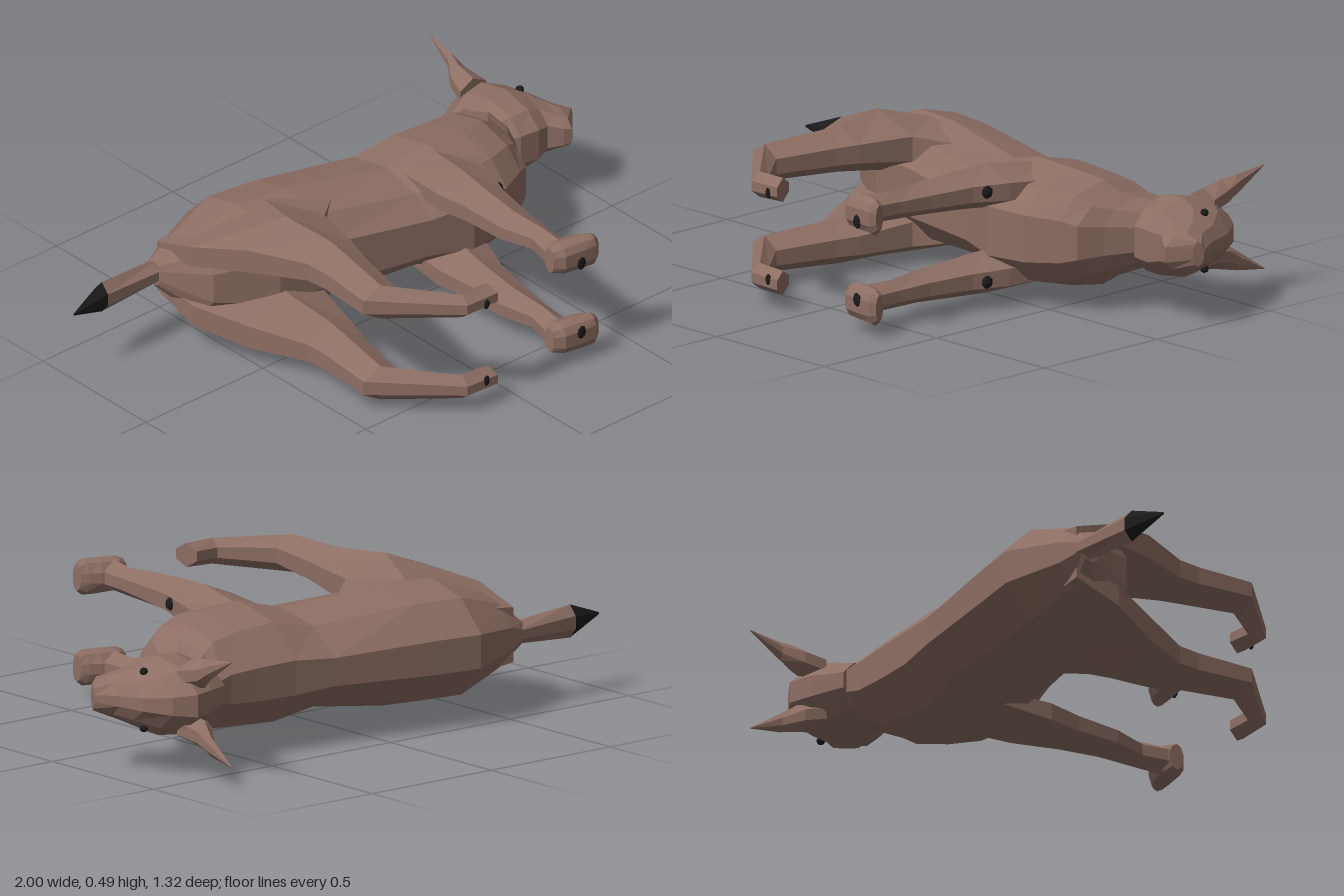
import * as THREE from 'three';

const fur = new THREE.MeshStandardMaterial({ name: 'brown fur', color: 0x8d6e63, flatShading: true });
const dark = new THREE.MeshStandardMaterial({ name: 'dark markings', color: 0x1b1b1b, flatShading: true });

// Cross-section outlines as [t, s]: t runs between the two edge points, s across the width
const ROUND = [[1, .36], [1, .64], [.78, .9], [.45, 1], [.15, .9], [0, .7], [0, .3], [.15, .1], [.45, 0], [.78, .1]];
const LIMB = [[1, .3], [1, .7], [.5, 1], [0, .7], [0, .3], [.5, 0]];

// Skin through sections [x1, y1, x2, y2, zInner, zOuter], closed at both ends
function loft(name, sections, profile, material = fur, side = 1) {
  const rings = sections.map(([x1, y1, x2, y2, a, b]) => {
    const lo = side > 0 ? a : -b, hi = side > 0 ? b : -a;
    return profile.map(([t, s]) => [x1 + (x2 - x1) * t, y1 + (y2 - y1) * t, lo + (hi - lo) * s]);
  });
  const pos = [], n = profile.length, last = rings[rings.length - 1];
  const tri = (...pts) => pts.forEach(p => pos.push(...p));
  for (let i = 0; i < rings.length - 1; i++) {
    const r = rings[i], q = rings[i + 1];
    for (let j = 0; j < n; j++) {
      const k = (j + 1) % n;
      tri(r[j], r[k], q[j]);
      tri(r[k], q[k], q[j]);
    }
  }
  for (let j = 1; j < n - 1; j++) {
    tri(rings[0][0], rings[0][j + 1], rings[0][j]);
    tri(last[0], last[j], last[j + 1]);
  }
  const geo = new THREE.BufferGeometry();
  geo.setAttribute('position', new THREE.Float32BufferAttribute(pos, 3));
  geo.computeVertexNormals();
  const mesh = new THREE.Mesh(geo, material);
  mesh.name = name;
  return mesh;
}

// Small flattened dark bead
function spot(name, x, y, z, rx, ry, rz) {
  const mesh = new THREE.Mesh(new THREE.SphereGeometry(1, 8, 6), dark);
  mesh.name = name;
  mesh.position.set(x, y, z);
  mesh.scale.set(rx, ry, rz);
  return mesh;
}

export function createModel() {
  const model = new THREE.Group();
  model.name = 'animal';
  // Modelled standing (y up, z sideways), then laid on its side
  const animal = new THREE.Group();
  animal.name = 'lyingAnimal';
  animal.rotation.x = -Math.PI / 2;
  animal.position.y = 0.246;
  model.add(animal);

  // Trunk and neck: [x, bottom, top, half width]
  const trunk = [
    [-.64, .34, .41, .045], [-.56, .17, .44, .13], [-.37, .06, .512, .2], [-.19, .035, .485, .2],
    [.17, -.06, .425, .165], [.32, -.1, .405, .205], [.47, -.085, .398, .195], [.58, -.03, .395, .175],
    [.63, 0, .405, .14], [.67, .08, .42, .12], [.73, .17, .44, .1],
  ].map(([x, b, t, w]) => [x, b, x, t, -w, w]);
  animal.add(loft('body', trunk, ROUND));

  // Head tapering to the muzzle
  const head = [
    [.67, .2, .63, .42, .095], [.74, .15, .73, .475, .13], [.81, .14, .81, .5, .132], [.86, .155, .88, .455, .105],
    [.9, .12, .935, .375, .077], [.925, .11, .96, .285, .064], [.985, .175, 1, .21, .042],
  ].map(([x1, y1, x2, y2, w]) => [x1, y1, x2, y2, -w, w]);
  animal.add(loft('head', head, ROUND));

  // Tail with dark tip
  const tailEnd = [-.86, .402, -.86, .343, -.055, .055];
  animal.add(loft('tail', [[-.6, .42, -.6, .345, -.036, .036], tailEnd], LIMB));
  animal.add(loft('tailTip', [tailEnd, [-1, .352, -1, .348, -.004, .004]], LIMB, dark));

  for (const side of [1, -1]) {
    const label = side > 0 ? 'Upper' : 'Lower';

    // Hind leg: hip, thigh, hock, foot
    animal.add(loft('hindLeg' + label, [
      [-.6, .4, -.12, .4, .02, .12], [-.6, .23, .02, .22, .02, .2], [-.52, .05, -.19, .05, .04, .245],
      [-.43, -.14, -.235, -.14, .075, .23], [-.425, -.22, -.26, -.22, .08, .225],
      [-.44, -.42, -.31, -.44, .09, .215], [-.2, -.655, -.19, -.59, .11, .195], [-.075, -.66, -.1, -.585, .115, .195],
    ], LIMB, fur, side));

    // Front leg and rounded paw
    animal.add(loft('frontLeg' + label, [
      [.2, .15, .46, .15, .08, .19], [.18, -.08, .4, -.08, .07, .215], [.195, -.2, .355, -.2, .08, .21],
      [.2, -.36, .325, -.36, .09, .2], [.23, -.48, .31, -.48, .1, .195], [.205, -.58, .305, -.58, .1, .2],
    ], LIMB, fur, side));
    animal.add(loft('frontPaw' + label, [
      [.2, -.62, .205, -.57, .105, .195], [.23, -.645, .24, -.55, .092, .208], [.3, -.655, .31, -.565, .09, .21],
      [.35, -.658, .345, -.59, .09, .21], [.37, -.645, .365, -.61, .105, .195],
    ], ROUND, fur, side));

    // Ear
    animal.add(loft('ear' + label, [
      [.83, .42, .72, .42, .035, .135], [.815, .5, .74, .49, .055, .15],
      [.812, .55, .782, .55, .095, .16], [.807, .662, .803, .662, .171, .175],
    ], LIMB, fur, side));

    // Eye, paw pads and foreleg mark
    animal.add(spot('eye' + label, .886, .32, side * .094, .014, .014, .013));
    animal.add(spot('frontPad' + label, .29, -.654, side * .13, .018, .006, .024));
    animal.add(spot('hindPad' + label, -.12, -.656, side * .145, .013, .006, .02));
    animal.add(spot('forelegMark' + label, .373, -.155, side * .15, .015, .02, .022));
  }
  return model;
}
